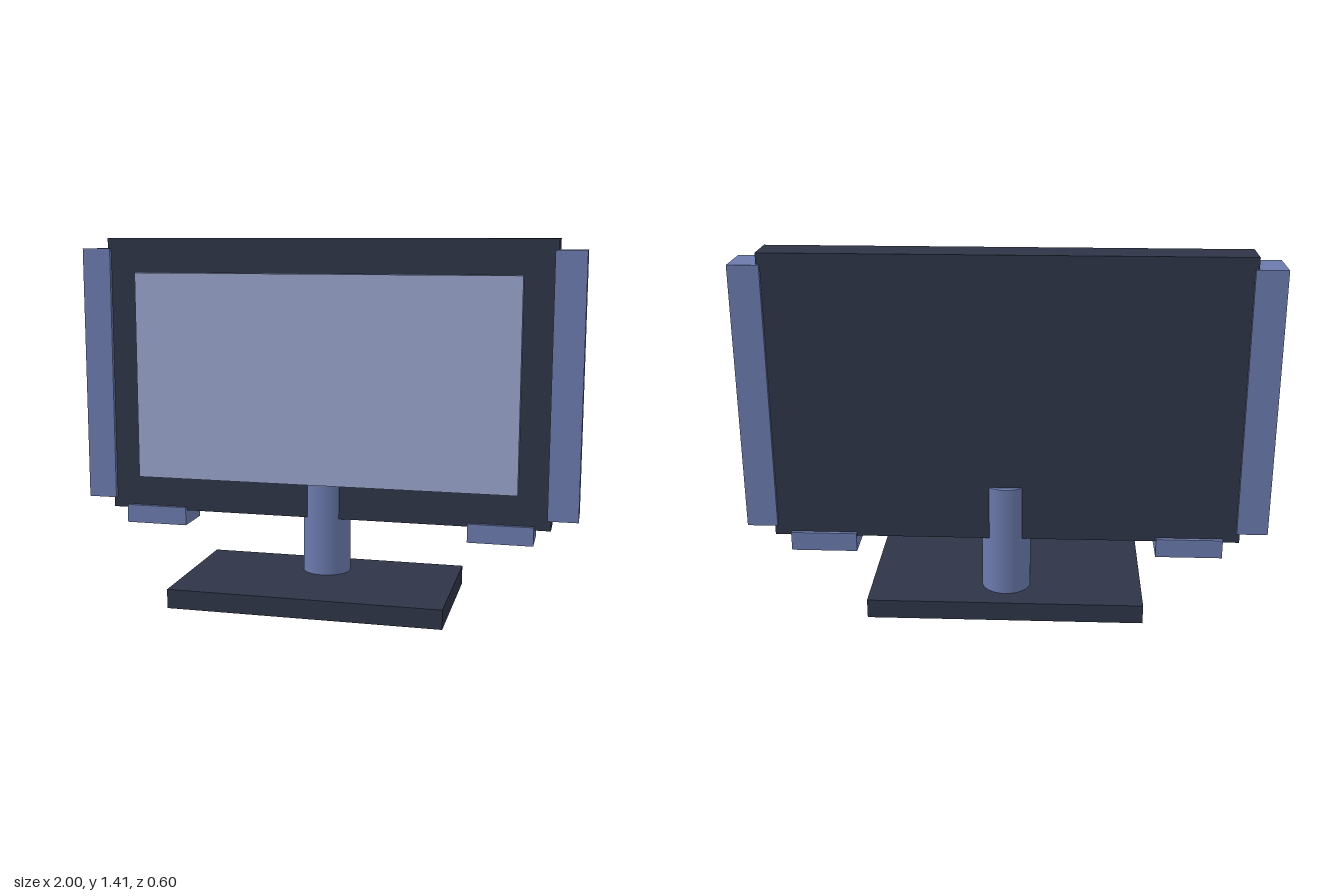
import * as THREE from 'three';

export function createModel() {
  const model = new THREE.Group();
  model.name = 'monitor';

  const dark = new THREE.MeshStandardMaterial({ color: 0x2e3548 });
  dark.name = 'dark slate';
  const blue = new THREE.MeshStandardMaterial({ color: 0x6c7bae });
  blue.name = 'dusty blue';
  const pale = new THREE.MeshStandardMaterial({ color: 0x98a4cc });
  pale.name = 'pale blue';

  // Box given by its extents along each axis
  function box(name, material, [x0, x1], [y0, y1], [z0, z1]) {
    const mesh = new THREE.Mesh(new THREE.BoxGeometry(x1 - x0, y1 - y0, z1 - z0), material);
    mesh.position.set((x0 + x1) / 2, (y0 + y1) / 2, (z0 + z1) / 2);
    mesh.name = name;
    model.add(mesh);
  }

  // Stand
  box('base', dark, [-0.533, 0.533], [0, 0.075], [-0.298, 0.298]);
  const pillar = new THREE.Mesh(new THREE.CylinderGeometry(0.095, 0.095, 0.455, 48), blue);
  pillar.position.set(0, 0.2875, -0.127);
  pillar.name = 'pillar';
  model.add(pillar);

  // Casing and raised display
  box('casing', dark, [-0.897, 0.897], [0.303, 1.412], [-0.198, -0.057]);
  box('screen', pale, [-0.77, 0.77], [0.442, 1.275], [-0.09, -0.023]);

  // Speakers on both sides and blocks under the casing
  const depth = [-0.213, -0.041];
  for (const [side, s] of [['left', 1], ['right', -1]]) {
    const mirror = (a, b) => (s > 0 ? [a, b] : [-b, -a]);
    box(side + 'Speaker', blue, mirror(0.883, 1), [0.345, 1.37], depth);
    box(side + 'LowerBlock', blue, mirror(0.578, 0.833), [0.243, 0.317], depth);
  }
  return model;
}
